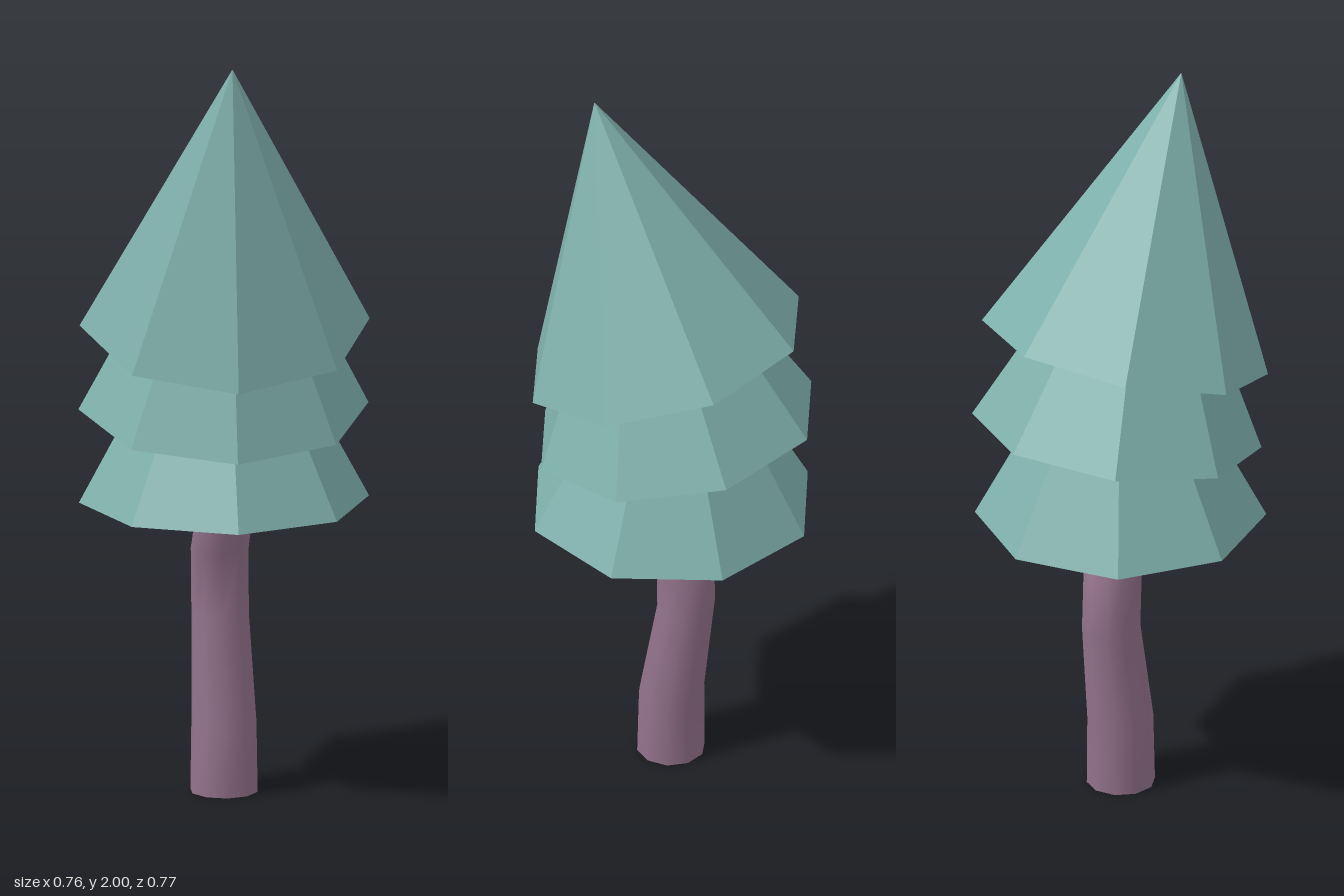
import * as THREE from 'three';
import { toCreasedNormals } from 'three/addons/utils/BufferGeometryUtils.js';

const leafMaterial = new THREE.MeshStandardMaterial({ color: 0x7fb0ab, flatShading: true });
const barkMaterial = new THREE.MeshStandardMaterial({ color: 0x93728b });

// Trunk rings from the ground up: height, centre x, centre z, radius
const rings = [
  [0, 0, 0.005, 0.09],
  [0.19, 0, 0.003, 0.087],
  [0.47, -0.006, -0.036, 0.077],
  [0.64, -0.008, -0.032, 0.077],
  [0.71, -0.004, 0.005, 0.076],
  [0.84, -0.003, 0.005, 0.076],
];

// Leaf tiers: height and z of the base centre, cone height, forward tilt
const tiers = [
  { name: 'lowerFoliage', y: 0.785, z: 0.004, height: 0.71, tilt: 0 },
  { name: 'middleFoliage', y: 1.033, z: -0.01, height: 0.76, tilt: 9.6 },
  { name: 'upperFoliage', y: 1.267, z: 0.02, height: 0.761, tilt: 15.6 },
];

// A closed cylinder whose rings are shifted along the bent trunk
function createTrunk() {
  const last = rings.length - 1;
  const geometry = new THREE.CylinderGeometry(1, 1, 1, 10, last);
  const position = geometry.attributes.position;
  for (let i = 0; i < position.count; i++) {
    const [y, x, z, r] = rings[Math.round((position.getY(i) + 0.5) * last)];
    position.setXYZ(i, x + position.getX(i) * r, y, z + position.getZ(i) * r);
  }
  const trunk = new THREE.Mesh(toCreasedNormals(geometry, Math.PI / 3), barkMaterial);
  trunk.name = 'trunk';
  return trunk;
}

// An eight-sided cone tilted about the centre of its base
function createTier({ name, y, z, height, tilt }) {
  const geometry = new THREE.ConeGeometry(0.381, height, 8);
  geometry.translate(0, height / 2, 0);
  const tier = new THREE.Mesh(geometry, leafMaterial);
  tier.name = name;
  tier.position.set(0, y, z);
  tier.rotation.x = THREE.MathUtils.degToRad(tilt);
  return tier;
}

export function createModel() {
  const tree = new THREE.Group();
  tree.name = 'tree';
  tree.add(createTrunk(), ...tiers.map(createTier));
  return tree;
}
